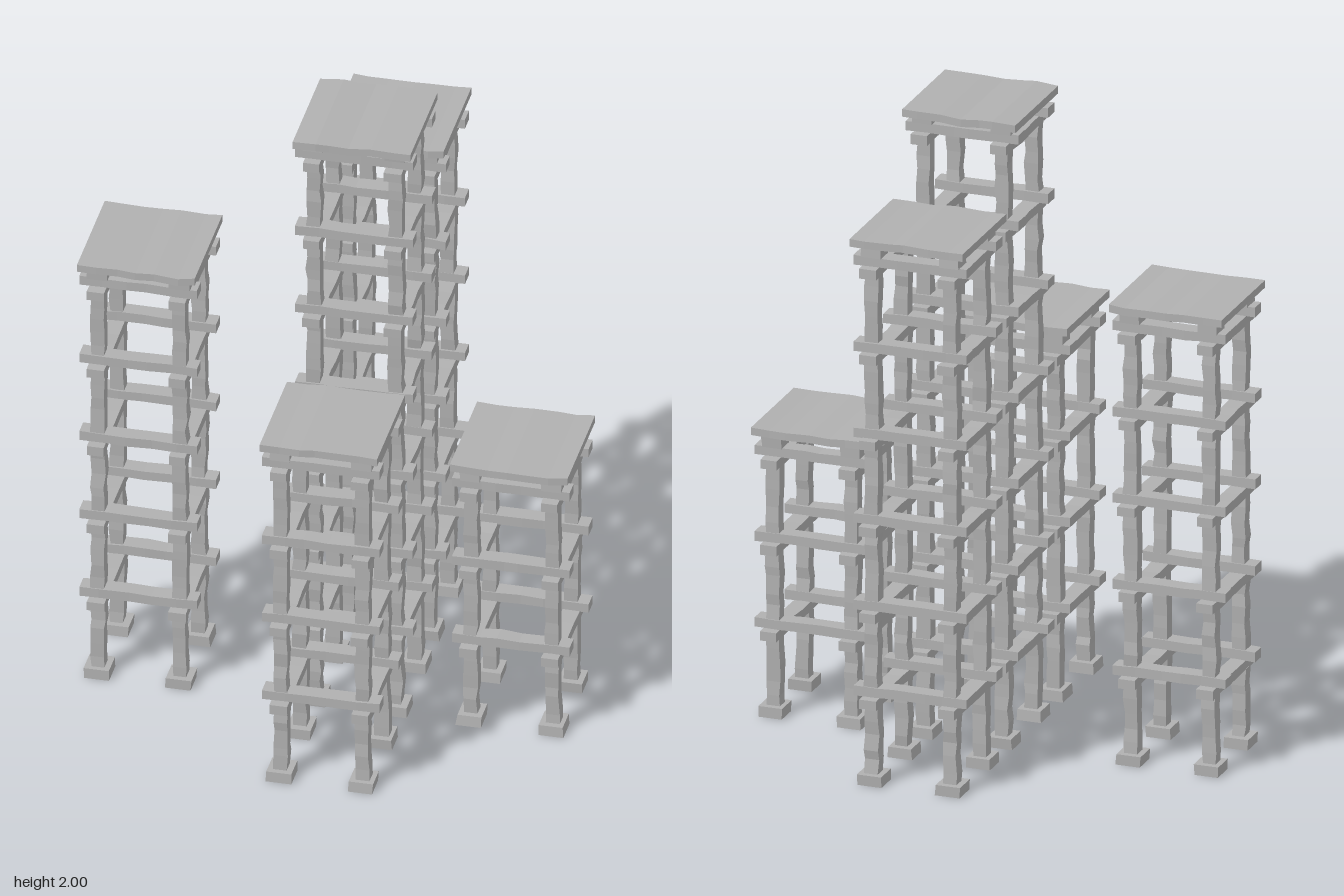
import * as THREE from 'three';

const stone = new THREE.MeshStandardMaterial({ color: 0xb0b0b0, flatShading: true });
stone.name = 'stone grey';

// Small seeded generator, returns -1..1
let seed = 7;
function rand() {
  seed = (seed * 16807) % 2147483647;
  return (seed / 2147483647) * 2 - 1;
}

// Box along y whose cross-sections are shifted and resized slice by slice
function roughBar(width, length, depth, segments, shift, swell) {
  const geo = new THREE.BoxGeometry(width, length, depth, 1, segments, 1);
  const slices = [];
  for (let i = 0; i <= segments; i++) {
    const inner = i > 0 && i < segments;
    slices.push({
      dx: rand() * shift, dz: rand() * shift,
      sx: 1 + rand() * swell, sz: 1 + rand() * swell,
      dy: inner ? (rand() * 0.25 * length) / segments : 0,
    });
  }
  const p = geo.attributes.position;
  for (let i = 0; i < p.count; i++) {
    const s = slices[Math.round((p.getY(i) / length + 0.5) * segments)];
    p.setXYZ(i, p.getX(i) * s.sx + s.dx, p.getY(i) + s.dy, p.getZ(i) * s.sz + s.dz);
  }
  geo.computeVertexNormals();
  return geo;
}

function add(group, name, geo, x, y, z) {
  const mesh = new THREE.Mesh(geo, stone);
  mesh.name = name;
  mesh.position.set(x, y, z);
  group.add(mesh);
}

const PITCH = 0.274;  // storey height
const HALF = 0.125;   // post offset from the tower axis
const SPAN = 0.36;    // beam and slab length
const BEAM = 0.03;    // beam thickness
const corners = [[-1, -1], [1, -1], [-1, 1], [1, 1]];

function tower(name, x, z, storeys, top) {
  const g = new THREE.Group();
  g.name = name;
  g.position.set(x, 0, z);

  // Foot blocks
  for (const [sx, sz] of corners) {
    add(g, 'foot', roughBar(0.076, 0.034, 0.08, 1, 0.002, 0.05), sx * HALF, 0.017, sz * HALF);
  }

  for (let i = 0; i < storeys; i++) {
    const base = i === 0 ? 0.03 : 0.036 + i * PITCH;
    const beamY = 0.25 + i * PITCH;

    // Uneven posts
    for (const [sx, sz] of corners) {
      add(g, 'post', roughBar(0.042, beamY - base + 0.004, 0.042, 5, 0.0025, 0.1),
        sx * HALF, (base + beamY) / 2, sz * HALF);
    }

    // Crossed beams: lower pair along z, upper pair along x
    for (const s of [-1, 1]) {
      add(g, 'lowerBeam', roughBar(0.052, SPAN, BEAM, 5, 0.0015, 0.06).rotateX(Math.PI / 2),
        s * HALF, beamY + BEAM / 2, 0);
      add(g, 'upperBeam', roughBar(BEAM, SPAN, 0.052, 5, 0.0015, 0.06).rotateZ(Math.PI / 2),
        0, beamY + BEAM * 1.5, s * HALF);
    }
  }

  // Bearing blocks under the slab
  const blockBase = 0.31 + (storeys - 1) * PITCH;
  const slabBase = top - 0.027;
  for (const [sx, sz] of corners) {
    add(g, 'bearingBlock', roughBar(0.062, slabBase - blockBase + 0.002, 0.064, 1, 0.002, 0.05),
      sx * HALF, (slabBase + blockBase) / 2, sz * HALF);
  }

  // Roof slab with wavy front and back edges
  add(g, 'slab', roughBar(0.024, SPAN, SPAN + 0.005, 6, 0.003, 0.02).rotateZ(Math.PI / 2),
    0, top - 0.014, 0);
  return g;
}

export function createModel() {
  const model = new THREE.Group();
  model.name = 'steppedTowers';
  model.add(
    tower('centreTower', 0.09, 0, 7, 2.0),
    tower('backTower', 0.09, -0.435, 6, 1.742),
    tower('rightTower', -0.57, 0, 5, 1.468),
    tower('frontTower', 0.09, 0.435, 4, 1.197),
    tower('leftTower', 0.57, 0, 3, 0.924),
  );
  return model;
}
